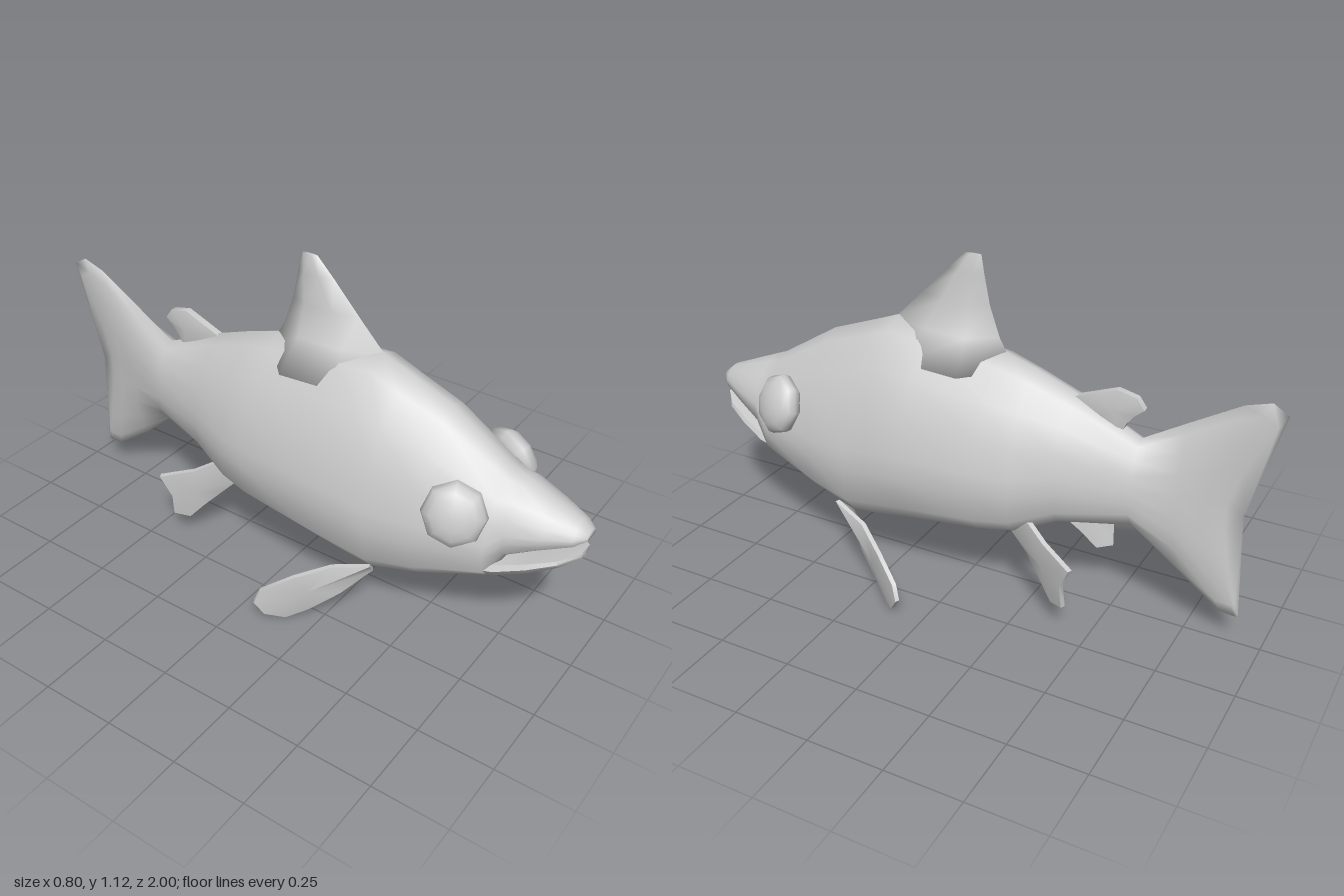
import * as THREE from 'three';
import { toCreasedNormals } from 'three/addons/utils/BufferGeometryUtils.js';

const material = new THREE.MeshStandardMaterial({ color: 0xcccccc });

// Half cross-sections from belly to back: [fraction of width, fraction of height]
const TRUNK = [[0, 0], [0.4, 0.01], [0.72, 0.03], [0.96, 0.13], [1, 0.3], [1, 0.42], [0.86, 0.62], [0.64, 0.8], [0.3, 0.95], [0, 1]];
const BLADE = [[0, 0], [0.5, 0.06], [0.8, 0.18], [1, 0.3], [1, 0.42], [1, 0.55], [0.9, 0.7], [0.7, 0.83], [0.4, 0.94], [0, 1]];
const JAW = [[0, 0], [0.5, 0.07], [0.82, 0.3], [1, 0.7], [0.93, 0.95], [0.5, 1], [0, 1]];

const lerp = THREE.MathUtils.lerp;

// Mesh from a list of [x, y, z] points and triangle indices
function build(name, points, index, crease) {
  let geo = new THREE.BufferGeometry();
  geo.setAttribute('position', new THREE.Float32BufferAttribute(points.flat(), 3));
  geo.setIndex(index);
  if (crease) geo = toCreasedNormals(geo, crease);
  else geo.computeVertexNormals();
  const mesh = new THREE.Mesh(geo, material);
  mesh.name = name;
  return mesh;
}

// Skin a series of closed rings and cap both ends
function loft(name, rings, crease) {
  const n = rings[0].length, last = (rings.length - 1) * n, index = [];
  const points = rings.flat();
  const center = ring => [0, 1, 2].map(k => ring.reduce((s, p) => s + p[k], 0) / n);
  points.push(center(rings[0]), center(rings[rings.length - 1]));
  for (let j = 0; j < n; j++) {
    const k = (j + 1) % n;
    for (let i = 0; i < last; i += n) {
      index.push(i + j, i + n + j, i + k, i + k, i + n + j, i + n + k);
    }
    index.push(last + n, j, k, last + n + 1, last + k, last + j);
  }
  return build(name, points, index, crease);
}

// Full symmetric ring; the upper and lower ends can sweep backwards
function ring(half, z, low, high, width, sweepLow = 0, sweepHigh = 0) {
  const side = half.map(([u, v]) => {
    const d = 2 * v - 1;
    const sweep = Math.pow(Math.abs(d), 1.5) * (d < 0 ? sweepLow : sweepHigh);
    return [u * width, lerp(low, high, v), z - sweep];
  });
  const mirrored = side.slice(1, -1).reverse().map(([x, y, zz]) => [-x, y, zz]);
  return [...side, ...mirrored];
}

// Thin fin from a 3D outline, slightly thicker in the middle
function fin(name, outline, edge, middle) {
  const n = outline.length;
  const pts = outline.map(p => new THREE.Vector3(...p));
  const center = pts.reduce((s, p) => s.add(p), new THREE.Vector3()).divideScalar(n);
  const normal = new THREE.Vector3();
  pts.forEach((p, i) => {
    const a = p.clone().sub(center), b = pts[(i + 1) % n].clone().sub(center);
    normal.add(a.cross(b));
  });
  normal.normalize();
  const shift = (p, d) => p.clone().addScaledVector(normal, d).toArray();
  const points = [
    ...pts.map(p => shift(p, edge)), ...pts.map(p => shift(p, -edge)),
    shift(center, middle), shift(center, -middle)
  ];
  const index = [];
  for (let i = 0; i < n; i++) {
    const k = (i + 1) % n;
    index.push(2 * n, i, k, 2 * n + 1, n + k, n + i);
    index.push(i, n + i, k, k, n + i, n + k);
  }
  return build(name, points, index, 0.9);
}

export function createModel() {
  const model = new THREE.Group();
  model.name = 'fish';

  // Body with upper jaw and tail: z, belly, back, half width, blade blend, sweeps
  const stations = [
    [1.0, 0.508, 0.535, 0.03, 0],
    [0.97, 0.487, 0.56, 0.06, 0],
    [0.89, 0.455, 0.593, 0.1, 0],
    [0.79, 0.405, 0.635, 0.138, 0],
    [0.74, 0.31, 0.655, 0.158, 0],
    [0.53, 0.237, 0.785, 0.212, 0],
    [0.37, 0.192, 0.845, 0.232, 0],
    [0.28, 0.205, 0.88, 0.238, 0],
    [0.15, 0.228, 0.87, 0.242, 0],
    [-0.1, 0.253, 0.83, 0.222, 0],
    [-0.21, 0.267, 0.795, 0.195, 0],
    [-0.35, 0.312, 0.742, 0.152, 0.3],
    [-0.57, 0.342, 0.64, 0.088, 0.7],
    [-0.71, 0.215, 0.725, 0.05, 1],
    [-0.79, 0.105, 0.82, 0.03, 1, 0.07, 0.08],
    [-0.83, 0.1, 0.845, 0.022, 1, 0.08, 0.12],
    [-0.85, 0.105, 0.815, 0.012, 1, 0.07, 0.15]
  ];
  model.add(loft('body', stations.map(([z, low, high, w, blend, sl, sh]) => {
    const half = TRUNK.map(([u, v], i) => [lerp(u, BLADE[i][0], blend), lerp(v, BLADE[i][1], blend)]);
    return ring(half, z, low, high, w, sl, sh);
  })));

  // Lower jaw
  const jaw = [
    [0.99, 0.437, 0.46, 0.03],
    [0.94, 0.4, 0.446, 0.085],
    [0.86, 0.352, 0.418, 0.118],
    [0.77, 0.315, 0.388, 0.145],
    [0.66, 0.282, 0.38, 0.165],
    [0.56, 0.26, 0.38, 0.15]
  ];
  model.add(loft('lowerJaw', jaw.map(s => ring(JAW, ...s)), 0.9));

  // Dorsal fin, from tip to base: y, front z, back z, half width
  const dorsal = [
    [1.13, 0.04, -0.02, 0.008],
    [1.07, 0.1, -0.03, 0.02],
    [0.97, 0.193, -0.05, 0.03],
    [0.87, 0.29, -0.085, 0.06],
    [0.77, 0.4, -0.14, 0.14]
  ];
  model.add(loft('dorsalFin', dorsal.map(([y, front, back, w]) => {
    const a = lerp(back, front, 0.65), b = lerp(back, front, 0.25);
    return [[0, y, front], [w * 0.85, y, a], [w, y, b], [0, y, back], [-w, y, b], [-w * 0.85, y, a]];
  })));

  // Small fin in front of the tail
  const adipose = [
    [-0.35, 0.735], [-0.42, 0.762], [-0.485, 0.787], [-0.55, 0.772],
    [-0.575, 0.737], [-0.545, 0.712], [-0.52, 0.68], [-0.5, 0.63], [-0.4, 0.67]
  ];
  model.add(fin('adiposeFin', adipose.map(([z, y]) => [0, y, z]), 0.012, 0.026));

  // Paired fins and eyes
  const pectoral = [
    [0.23, 0.27, 0.4], [0.26, 0.23, 0.28], [0.325, 0.182, 0.18], [0.383, 0.125, 0.09],
    [0.395, 0.075, 0.072], [0.378, 0.03, 0.1], [0.33, 0.006, 0.15], [0.287, 0.04, 0.21],
    [0.24, 0.12, 0.3], [0.175, 0.21, 0.38]
  ];
  const pelvic = [
    [0.125, 0.28, -0.2], [0.15, 0.34, -0.27], [0.18, 0.295, -0.34], [0.232, 0.258, -0.45],
    [0.215, 0.18, -0.415], [0.205, 0.1, -0.42], [0.178, 0.09, -0.37],
    [0.158, 0.15, -0.32], [0.13, 0.215, -0.26]
  ];
  const eyeShape = new THREE.SphereGeometry(1, 8, 8).rotateZ(-Math.PI / 2).scale(0.055, 0.105, 0.1);
  for (const [side, s] of [['left', 1], ['right', -1]]) {
    const mirror = outline => outline.map(([x, y, z]) => [s * x, y, z]);
    model.add(fin(side + 'PectoralFin', mirror(pectoral), 0.007, 0.012));
    model.add(fin(side + 'PelvicFin', mirror(pelvic), 0.008, 0.014));

    const eye = new THREE.Mesh(eyeShape.clone(), material);
    eye.name = side + 'Eye';
    eye.position.set(s * 0.18, 0.55, 0.65);
    eye.rotation.set(0, -0.4 * s, 0.3 * s);
    // The sphere is symmetric, so turning it is enough to mirror it
    model.add(eye);
  }
  return model;
}
